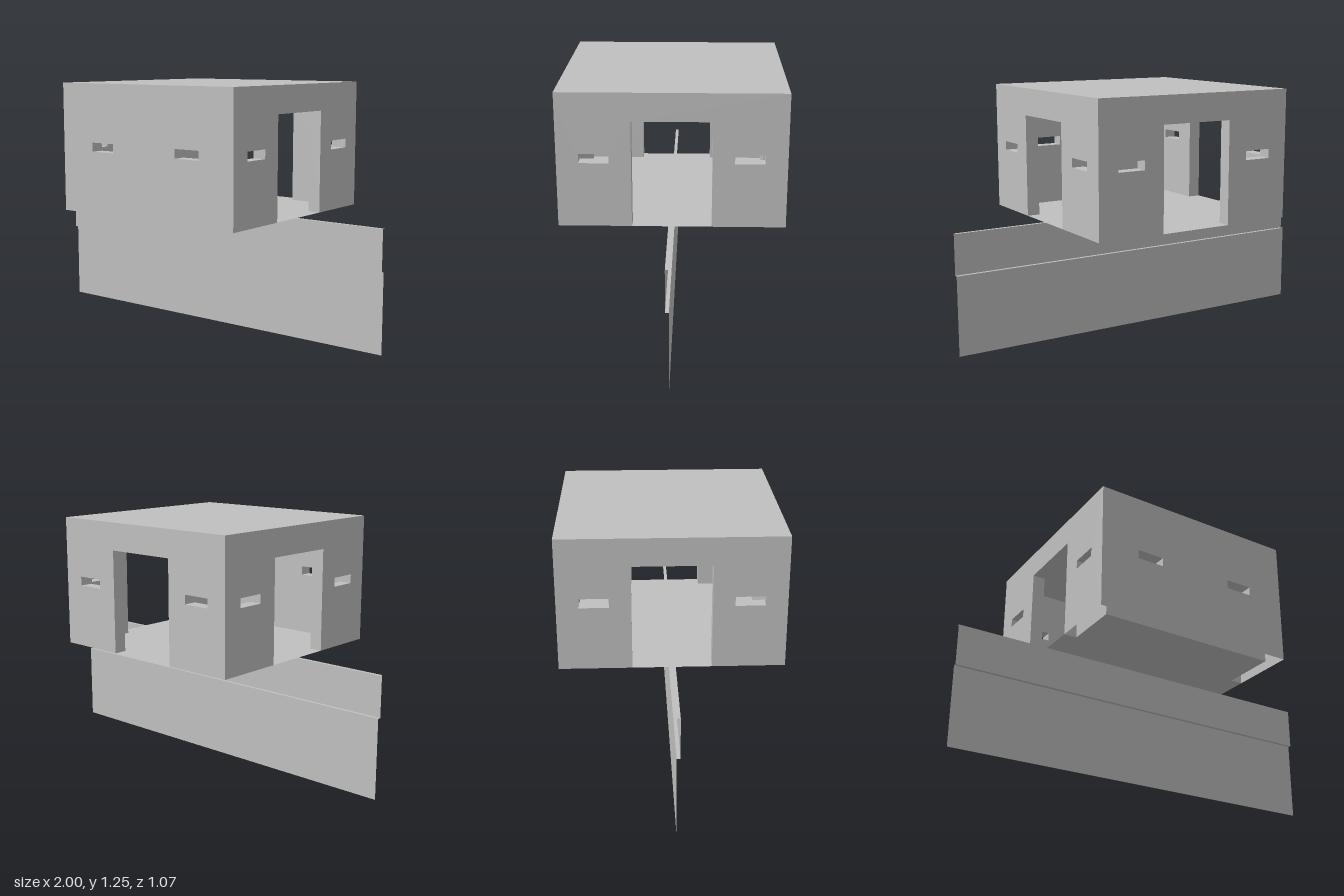
import * as THREE from 'three';

const HALF = 0.533;      // outer half width of the cabin
const THICK = 0.065;     // wall thickness
const BASE = 0.605, ROOF = 1.25, CEILING = ROOF - THICK;
const DOOR = 0.187, LINTEL = 1.115;
const SLOT_LOW = 0.915, SLOT_HIGH = 0.96;

const concrete = new THREE.MeshStandardMaterial({ color: 0xc0c0c0, side: THREE.DoubleSide });
concrete.name = 'concrete grey';

function add(parent, name, geometry) {
  const mesh = new THREE.Mesh(geometry, concrete);
  mesh.name = name;
  parent.add(mesh);
  return mesh;
}

// Horizontal sheet facing up
function sheet(parent, name, width, depth, y, z = 0) {
  const mesh = add(parent, name, new THREE.PlaneGeometry(width, depth).rotateX(-Math.PI / 2));
  mesh.position.set(0, y, z);
  return mesh;
}

const slotPoints = (a, b) =>
  [[a, SLOT_LOW], [b, SLOT_LOW], [b, SLOT_HIGH], [a, SLOT_HIGH], [a, SLOT_LOW]];
const doorPoints = [[-DOOR, BASE], [-DOOR, LINTEL], [DOOR, LINTEL], [DOOR, BASE]];
const toVectors = (points) => points.map(([x, y]) => new THREE.Vector2(x, y));

// One skin of a wall with its doorway notch and slots
function skin(half, top, hasDoor, slots) {
  const outline = [[-half, BASE], ...(hasDoor ? doorPoints : []), [half, BASE], [half, top], [-half, top]];
  const shape = new THREE.Shape(toVectors(outline));
  slots.forEach((s) => shape.holes.push(new THREE.Path(toVectors(s))));
  return new THREE.ShapeGeometry(shape);
}

// Reveal running from the outer to the inner skin along an opening
function reveal(points) {
  const out = [];
  const zi = HALF - THICK, zo = HALF;
  for (let i = 0; i < points.length - 1; i++) {
    const [ax, ay] = points[i], [bx, by] = points[i + 1];
    out.push(ax, ay, zi, bx, by, zi, bx, by, zo, ax, ay, zi, bx, by, zo, ax, ay, zo);
  }
  const geometry = new THREE.BufferGeometry();
  geometry.setAttribute('position', new THREE.Float32BufferAttribute(out, 3));
  geometry.computeVertexNormals();
  return geometry;
}

// Hollow wall, open underneath
function wall(name, angle, hasDoor, near, far) {
  const group = new THREE.Group();
  group.name = name;
  const slots = [slotPoints(near, far), slotPoints(-far, -near)];
  add(group, 'outerSkin', skin(HALF, ROOF, hasDoor, slots)).position.z = HALF;
  add(group, 'innerSkin', skin(HALF - THICK, CEILING, hasDoor, slots).rotateY(Math.PI)).position.z = HALF - THICK;
  slots.forEach((s) => add(group, 'slotReveal', reveal(s)));
  if (hasDoor) {
    add(group, 'doorFrame', reveal(doorPoints));
    sheet(group, 'doorSill', 2 * DOOR, THICK, BASE, HALF - THICK / 2);
  }
  group.rotation.y = angle;
  return group;
}

export function createModel() {
  const model = new THREE.Group();
  model.name = 'watchCabin';

  // Cabin walls: solid front, doorways on the other three sides
  model.add(
    wall('frontWall', 0, false, 0.195, 0.335),
    wall('leftWall', Math.PI / 2, true, 0.29, 0.43),
    wall('backWall', Math.PI, true, 0.29, 0.43),
    wall('rightWall', -Math.PI / 2, true, 0.29, 0.43),
  );
  const inner = 2 * (HALF - THICK);
  sheet(model, 'roof', 2 * HALF, 2 * HALF, ROOF);
  sheet(model, 'ceiling', inner, inner, CEILING).rotation.x = Math.PI;
  sheet(model, 'floor', inner, inner, BASE);

  // Thin barrier below: lower sheet, stepped upper sheet and two narrow ledges
  const step = 0.017, mid = 0.397, top = 0.602;
  add(model, 'lowerBarrier', new THREE.PlaneGeometry(2, mid)).position.set(0, mid / 2, 0);
  add(model, 'upperBarrier', new THREE.PlaneGeometry(2, top - mid)).position.set(0, (top + mid) / 2, step);
  sheet(model, 'middleLedge', 2, step, mid, step / 2);
  sheet(model, 'topLedge', 2, step, top, step / 2);
  return model;
}
